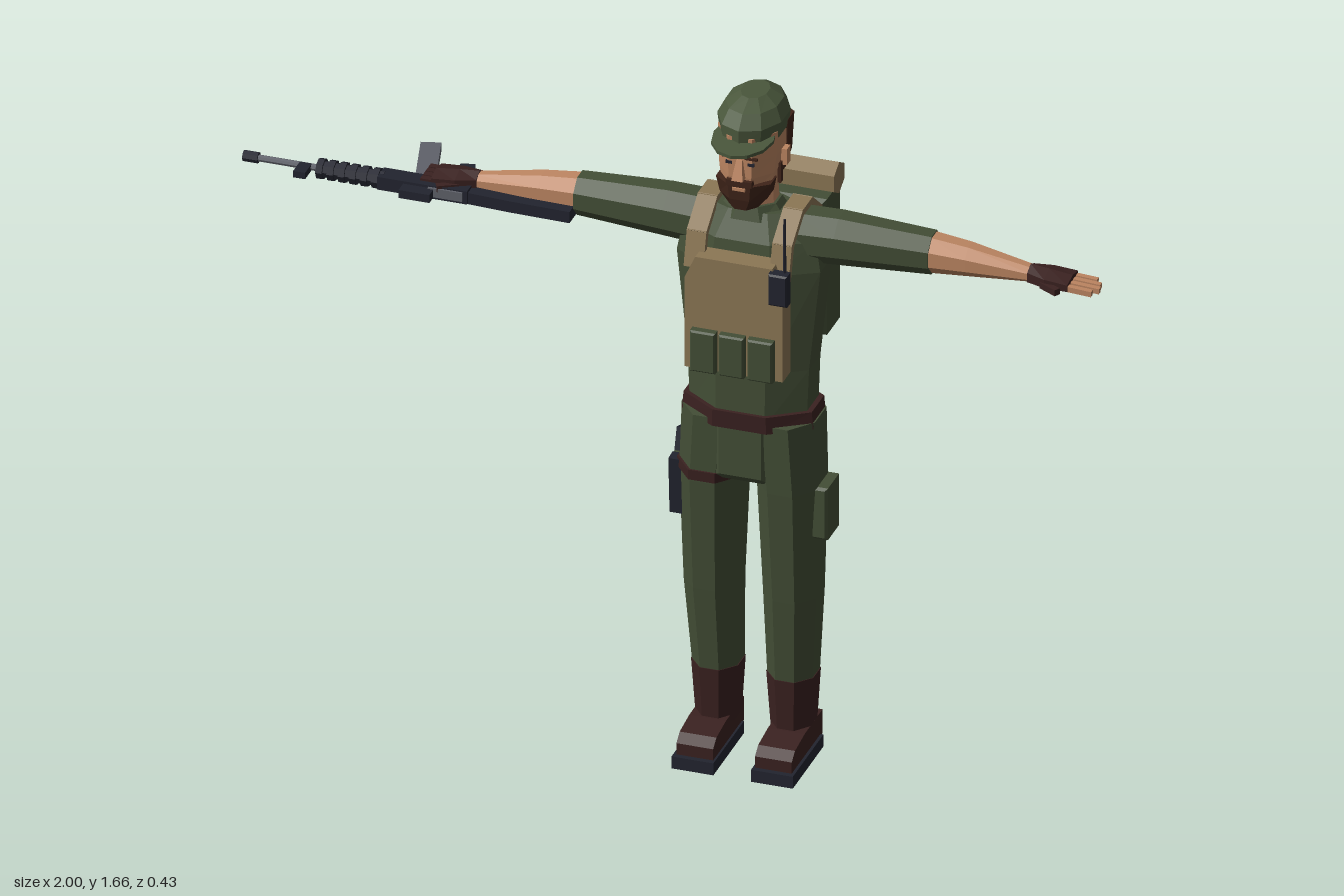
import * as THREE from 'three';

const mat = (name, color) => {
  const m = new THREE.MeshStandardMaterial({ color });
  m.name = name;
  return m;
};

export function createModel() {
  const green = mat('fatigue green', 0x434e36);
  const capGreen = mat('cap green', 0x4a573c);
  const tan = mat('webbing tan', 0x8c7755);
  const skin = mat('skin', 0xbd8662);
  const brown = mat('dark brown leather', 0x3a2120);
  const hairBrown = mat('hair brown', 0x3f2419);
  const navy = mat('gunmetal', 0x22242f);
  const grey = mat('steel grey', 0x5f626a);

  const model = new THREE.Group();
  model.name = 'soldier';
  const body = new THREE.Group();
  body.name = 'body';
  body.position.x = 0.185;
  const rifle = new THREE.Group();
  rifle.name = 'rifle';
  rifle.position.set(0, 1.295, 0.08);
  model.add(body, rifle);

  // Faceted mesh from any geometry
  const add = (name, geo, m, pos = [0, 0, 0], rot = [0, 0, 0], parent = body) => {
    const g = geo.index ? geo.toNonIndexed() : geo;
    g.computeVertexNormals();
    const mesh = new THREE.Mesh(g, m);
    mesh.name = name;
    mesh.position.set(...pos);
    mesh.rotation.set(...rot);
    parent.add(mesh);
    return mesh;
  };
  const box = (name, m, size, pos, rot, parent) =>
    add(name, new THREE.BoxGeometry(...size), m, pos, rot, parent);

  // Box with bevelled edges
  const bevelBox = (name, m, [w, h, d], pos, b = 0.01) => {
    const x = w / 2 - b, y = h / 2 - b;
    const shape = new THREE.Shape([[-x, -y], [x, -y], [x, y], [-x, y]].map(p => new THREE.Vector2(...p)));
    const g = new THREE.ExtrudeGeometry(shape, {
      depth: d - 2 * b, bevelEnabled: true, bevelSize: b, bevelThickness: b, bevelSegments: 1,
    });
    g.translate(0, 0, -d / 2 + b);
    return add(name, g, m, pos);
  };

  // Faceted rings along y or x; section = [position, cu, cv, ru, rv]
  // (y axis: u = x, v = z; x axis: u = z, v = y)
  const loft = (name, m, axis, sections, n = 8, parent = body) => {
    const s = [...sections].sort((a, b) => a[0] - b[0]);
    const pos = [], idx = [], k = 1 / Math.cos(Math.PI / n);
    const put = (u, l, v) => (axis === 'y' ? pos.push(u, l, v) : pos.push(l, v, u));
    for (const [l, cu, cv, ru, rv] of s)
      for (let i = 0; i < n; i++) {
        const a = ((i + 0.5) / n) * Math.PI * 2;
        put(cu + ru * k * Math.cos(a), l, cv - rv * k * Math.sin(a));
      }
    const last = s[s.length - 1], c0 = s.length * n;
    put(s[0][1], s[0][0], s[0][2]);
    put(last[1], last[0], last[2]);
    for (let i = 0; i < n; i++) {
      const j = (i + 1) % n;
      for (let r = 0; r < s.length - 1; r++) {
        const a = r * n + i, b = r * n + j;
        idx.push(a, b, b + n, a, b + n, a + n);
      }
      const t = (s.length - 1) * n;
      idx.push(c0, j, i, c0 + 1, t + i, t + j);
    }
    const g = new THREE.BufferGeometry();
    g.setAttribute('position', new THREE.Float32BufferAttribute(pos, 3));
    g.setIndex(idx);
    return add(name, g, m, undefined, undefined, parent);
  };

  // Torso, belt and pelvis
  loft('shirt', green, 'y', [
    [0.87, 0, 0.053, 0.137, 0.094], [1.0, 0, 0.053, 0.142, 0.092], [1.25, 0, 0.05, 0.168, 0.096],
    [1.32, 0, 0.048, 0.155, 0.085], [1.378, 0, 0.045, 0.11, 0.05]]);
  loft('belt', brown, 'y', [[0.855, 0, 0.054, 0.154, 0.1], [0.897, 0, 0.054, 0.15, 0.101]]);
  bevelBox('pelvis', green, [0.14, 0.16, 0.195], [0, 0.795, 0.052], 0.02);
  loft('collar', green, 'y', [[1.36, 0, 0.047, 0.08, 0.062], [1.392, 0, 0.045, 0.056, 0.052]]);

  // Legs and boots
  const footSide = [[-0.02, 0.025], [0.187, 0.025], [0.187, 0.058], [0.165, 0.076], [0.1, 0.085], [-0.02, 0.085]];
  for (const s of [-1, 1]) {
    loft('trouserLeg', green, 'y', [
      [0.205, s * 0.088, 0.04, 0.053, 0.061], [0.42, s * 0.093, 0.052, 0.062, 0.071],
      [0.7, s * 0.091, 0.055, 0.071, 0.087], [0.87, s * 0.079, 0.052, 0.077, 0.094]]);
    loft('bootShaft', brown, 'y', [[0.07, s * 0.088, 0.038, 0.046, 0.057], [0.21, s * 0.088, 0.04, 0.055, 0.063]]);
    const foot = new THREE.ExtrudeGeometry(
      new THREE.Shape(footSide.map(([z, y]) => new THREE.Vector2(-z, y))), { depth: 0.086, bevelEnabled: false });
    foot.translate(0, 0, -0.043).rotateY(Math.PI / 2);
    add('bootFoot', foot, brown, [s * 0.092, 0, 0]);
    box('bootSole', navy, [0.098, 0.03, 0.206], [s * 0.093, 0.015, 0.097]);
  }

  // Arms, gloves and fingers
  for (const s of [-1, 1]) {
    loft('sleeve', green, 'x', [
      [s * 0.1, 0.043, 1.316, 0.057, 0.06], [s * 0.2, 0.038, 1.318, 0.055, 0.058],
      [s * 0.415, 0.033, 1.317, 0.044, 0.047]]);
    loft('forearm', skin, 'x', [
      [s * 0.413, 0.033, 1.317, 0.041, 0.044], [s * 0.5, 0.036, 1.317, 0.036, 0.036],
      [s * 0.655, 0.045, 1.313, 0.021, 0.017]]);
    loft('glove', brown, 'x', [
      [s * 0.645, 0.045, 1.313, 0.024, 0.02], [s * 0.69, 0.05, 1.314, 0.036, 0.018],
      [s * 0.745, 0.05, 1.312, 0.037, 0.014]], 6);
    for (let i = 0; i < 4; i++) {
      const z = 0.022 + i * 0.019, len = [0.052, 0.066, 0.07, 0.058][i];
      if (s > 0) box('finger', skin, [len, 0.013, 0.013], [0.742 + len / 2, 1.308, z], [0, 0, -0.06]);
      else {
        // Fingers folded around the grip
        box('finger', brown, [0.03, 0.016, 0.016], [-0.755, 1.308, z]);
        box('fingerTip', skin, [0.013, 0.035, 0.014], [-0.765, 1.288, z]);
      }
    }
    box('thumb', brown, [0.05, 0.015, 0.015], [s * 0.705, 1.308, 0.09], [0, -s * 0.5, 0]);
  }

  // Head and face
  loft('neck', skin, 'y', [[1.36, 0, 0.045, 0.052, 0.046], [1.48, 0, 0.045, 0.045, 0.042]]);
  loft('head', skin, 'y', [
    [1.418, 0, 0.105, 0.035, 0.035], [1.45, 0, 0.085, 0.055, 0.058], [1.49, 0, 0.07, 0.064, 0.078],
    [1.53, 0, 0.062, 0.068, 0.086], [1.59, 0, 0.06, 0.069, 0.088]]);
  loft('beard', hairBrown, 'y', [
    [1.408, 0, 0.11, 0.033, 0.037], [1.435, 0, 0.102, 0.056, 0.051], [1.472, 0, 0.105, 0.064, 0.05]]);
  box('moustache', hairBrown, [0.06, 0.014, 0.02], [0, 1.478, 0.147]);
  box('mouth', skin, [0.03, 0.007, 0.006], [0, 1.464, 0.156]);
  loft('hair', hairBrown, 'y', [
    [1.455, 0, 0.018, 0.058, 0.028], [1.5, 0, 0.012, 0.069, 0.04], [1.59, 0, 0.012, 0.073, 0.05]]);
  loft('nose', skin, 'y', [[1.49, 0, 0.15, 0.013, 0.019], [1.535, 0, 0.145, 0.007, 0.008]], 4);
  for (const s of [-1, 1]) {
    box('ear', skin, [0.014, 0.04, 0.024], [s * 0.073, 1.51, 0.05]);
    box('sideburn', hairBrown, [0.008, 0.05, 0.016], [s * 0.066, 1.475, 0.066]);
    box('eyebrow', hairBrown, [0.03, 0.006, 0.006], [s * 0.026, 1.54, 0.147]);
    box('eye', navy, [0.015, 0.007, 0.005], [s * 0.026, 1.525, 0.147]);
  }

  // Cap with peak
  loft('capCrown', capGreen, 'y', [
    [1.572, 0, 0.054, 0.07, 0.097], [1.61, 0, 0.052, 0.075, 0.1], [1.64, 0, 0.047, 0.06, 0.08],
    [1.659, 0, 0.043, 0.03, 0.044]], 10);
  const peak = new THREE.CylinderGeometry(1, 1, 0.008, 12).scale(0.07, 1, 0.09);
  add('capPeak', peak, capGreen, [0, 1.578, 0.122], [0.05, 0, 0]);

  // Vest plates, pouches and shoulder straps
  const plate = new THREE.Shape([[-0.115, 1.015], [0.115, 1.015], [0.115, 1.24], [0.09, 1.295], [-0.09, 1.295], [-0.115, 1.24]]
    .map(p => new THREE.Vector2(...p)));
  for (const [name, z, d] of [['vestFront', 0.138, 0.052], ['vestBack', -0.08, 0.045]])
    add(name, new THREE.ExtrudeGeometry(plate, { depth: d, bevelEnabled: false }), tan, [0, 0, z]);
  for (const x of [-0.067, 0, 0.067])
    bevelBox('magazinePouch', green, [0.059, 0.102, 0.03], [x, 1.067, 0.195], 0.004);
  const path = [[1.26, 0.165], [1.335, 0.145], [1.385, 0.075], [1.385, 0.015], [1.335, -0.045], [1.27, -0.07]];
  for (const s of [-1, 1])
    for (let i = 0; i < path.length - 1; i++) {
      const [y0, z0] = path[i], [y1, z1] = path[i + 1];
      box('shoulderStrap', tan, [0.046, 0.016, Math.hypot(y1 - y0, z1 - z0) + 0.008],
        [s * 0.1, (y0 + y1) / 2, (z0 + z1) / 2], [Math.atan2(y0 - y1, z1 - z0), 0, 0]);
    }

  // Radio
  bevelBox('radio', navy, [0.044, 0.078, 0.032], [0.108, 1.252, 0.192], 0.004);
  add('antenna', new THREE.CylinderGeometry(0.003, 0.004, 0.14, 6), navy, [0.118, 1.355, 0.186]);

  // Backpack and bedroll
  bevelBox('backpack', green, [0.228, 0.342, 0.122], [0, 1.15, -0.153], 0.018);
  loft('bedroll', tan, 'x', [[-0.125, -0.16, 1.352, 0.034, 0.034], [0.125, -0.16, 1.352, 0.034, 0.034]], 6);
  for (const s of [-1, 1]) box('packStrap', grey, [0.03, 0.018, 0.06], [s * 0.08, 1.292, -0.08]);

  // Thigh pouch, holster and thigh strap
  bevelBox('thighPouch', green, [0.04, 0.13, 0.086], [0.166, 0.643, 0.053], 0.006);
  loft('thighStrap', brown, 'y', [[0.705, -0.091, 0.055, 0.075, 0.091], [0.73, -0.091, 0.055, 0.075, 0.092]]);
  box('holster', green, [0.034, 0.12, 0.05], [-0.165, 0.665, 0.045]);
  box('holsterFront', navy, [0.036, 0.14, 0.03], [-0.166, 0.655, 0.082], [0.06, 0, 0]);
  box('pistolGrip', navy, [0.026, 0.06, 0.034], [-0.17, 0.742, 0.04], [-0.3, 0, 0]);

  // Rifle, lying on its side with its underside towards the back
  const rod = (name, m, x0, x1, r) => add(name, new THREE.CylinderGeometry(r, r, x1 - x0, 8), m,
    [(x0 + x1) / 2, 0, 0], [0, 0, Math.PI / 2], rifle);
  const part = (name, m, size, pos, turn = 0) => box(name, m, size, pos, [0, turn, 0], rifle);
  rod('muzzle', navy, -1, -0.965, 0.013);
  rod('barrel', grey, -0.966, -0.81, 0.008);
  rod('handguard', navy, -0.825, -0.67, 0.019);
  for (let i = 0; i < 6; i++) rod('handguardRib', navy, -0.825 + i * 0.026, -0.81 + i * 0.026, 0.024);
  part('receiver', navy, [0.21, 0.032, 0.046], [-0.575, 0, 0]);
  part('bolt', grey, [0.08, 0.022, 0.008], [-0.52, 0.002, 0.024]);
  part('frontSight', navy, [0.028, 0.016, 0.046], [-0.855, 0, 0.022]);
  part('rearSight', navy, [0.072, 0.02, 0.034], [-0.583, 0, 0.037]);
  part('magazine', grey, [0.046, 0.022, 0.155], [-0.603, 0, -0.1], 0.26);
  part('grip', navy, [0.034, 0.024, 0.085], [-0.5, 0, -0.066], 0.3);
  loft('stock', navy, 'x', [[-0.48, 0, -0.004, 0.016, 0.014], [-0.37, 0.002, -0.006, 0.017, 0.014],
    [-0.23, -0.008, -0.006, 0.03, 0.014]], 4, rifle);

  return model;
}
